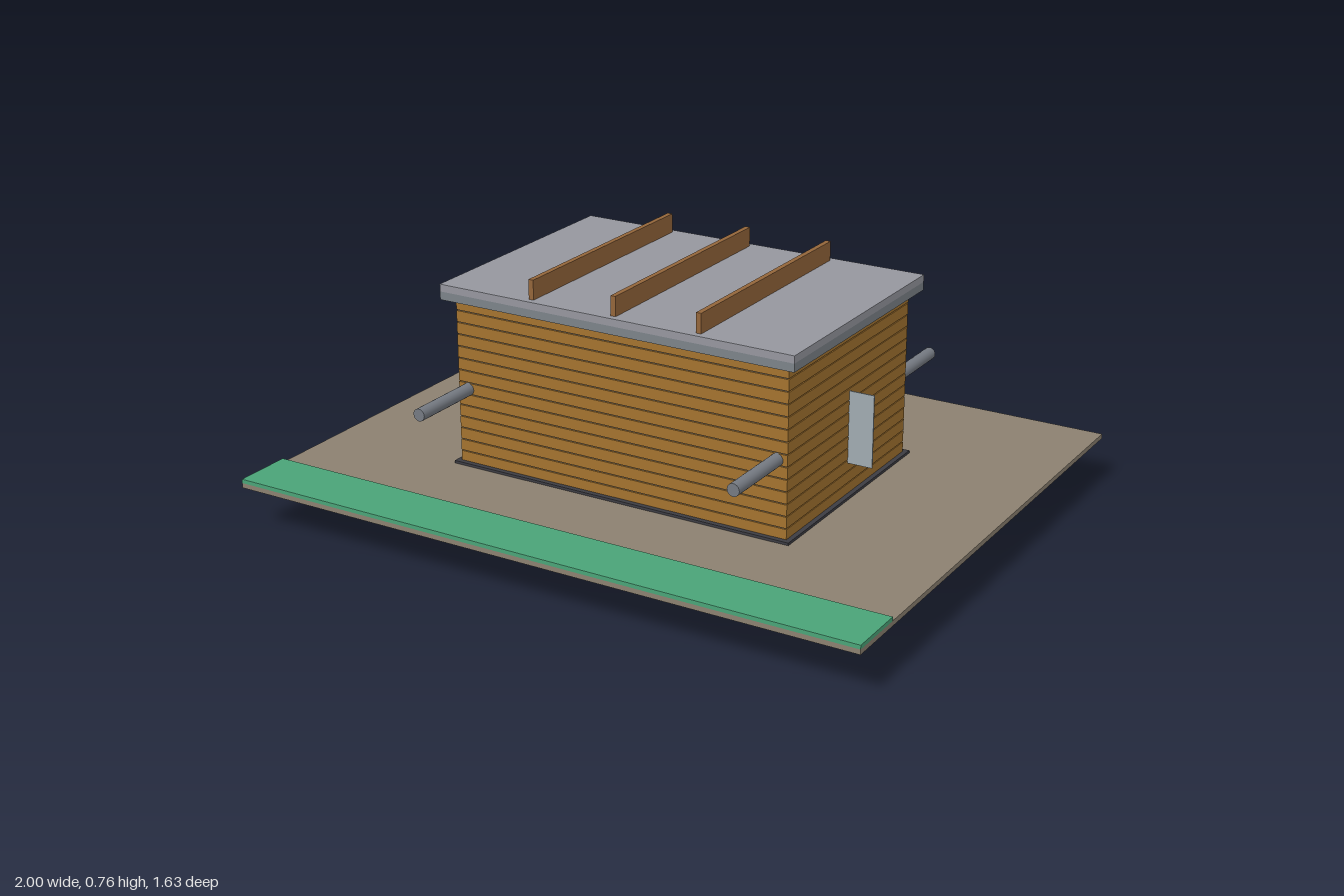
import * as THREE from 'three';

const mat = (color) => new THREE.MeshStandardMaterial({ color, flatShading: true });
const M = {
  ground: mat(0x8b8070), green: mat(0x4aa377), wood: mat(0xa3732f), fin: mat(0x93653a),
  roof: mat(0x95969e), slate: mat(0x7c8389), dark: mat(0x3c3c42), post: mat(0x92792a),
  panel: mat(0xa0aab0), core: mat(0x8a8a8e),
};
const pipeMat = new THREE.MeshStandardMaterial({ color: 0x757a82 });

// Box given by its limits on each axis
function block(parent, name, m, x0, x1, y0, y1, z0, z1) {
  const mesh = new THREE.Mesh(new THREE.BoxGeometry(x1 - x0, y1 - y0, z1 - z0), m);
  mesh.position.set((x0 + x1) / 2, (y0 + y1) / 2, (z0 + z1) / 2);
  mesh.name = name;
  parent.add(mesh);
  return mesh;
}

// Slab with rounded corners in plan
function roundedSlab(parent, name, m, hx, hz, r, y0, y1) {
  const s = new THREE.Shape();
  s.absarc(hx - r, hz - r, r, 0, Math.PI / 2);
  s.absarc(-hx + r, hz - r, r, Math.PI / 2, Math.PI);
  s.absarc(-hx + r, -hz + r, r, Math.PI, Math.PI * 1.5);
  s.absarc(hx - r, -hz + r, r, Math.PI * 1.5, Math.PI * 2);
  const geo = new THREE.ExtrudeGeometry(s, { depth: y1 - y0, bevelEnabled: false, curveSegments: 6 });
  geo.rotateX(-Math.PI / 2);
  const mesh = new THREE.Mesh(geo, m);
  mesh.position.y = y0;
  mesh.name = name;
  parent.add(mesh);
}

export function createModel() {
  const model = new THREE.Group();
  model.name = 'cabin';
  const G = 0.147; // ground surface

  // Ground plate and lawn strip
  block(model, 'groundPlate', M.ground, -1, 1, 0.132, G, -0.817, 0.817);
  block(model, 'lawnStrip', M.green, -1, 1, G, 0.159, 0.637, 0.817);

  // Foundation below the ground
  const base = new THREE.Group();
  base.name = 'foundation';
  model.add(base);
  roundedSlab(base, 'footing', M.roof, 0.588, 0.403, 0.04, 0, 0.066);
  roundedSlab(base, 'footingUpper', M.slate, 0.572, 0.388, 0.04, 0.066, 0.11);
  block(base, 'sillFrame', M.post, -0.577, 0.577, 0.11, 0.132, -0.393, 0.393);

  // Pairs of blocks clasping each corner
  for (const sx of [-1, 1]) for (const sz of [-1, 1]) {
    const corner = new THREE.Group();
    corner.name = 'cornerPosts';
    const a = block(corner, 'endPost', M.post, 0.458, 0.56, 0.001, 0.146, 0.33, 0.415);
    const b = block(corner, 'sidePost', M.post, 0.515, 0.6, 0.001, 0.146, 0.28, 0.378);
    for (const p of [a, b]) { p.position.x *= sx; p.position.z *= sz; }
    base.add(corner);
  }

  // Walls: thin board courses around an inner core
  const walls = new THREE.Group();
  walls.name = 'walls';
  model.add(walls);
  block(walls, 'plinth', M.dark, -0.56, 0.56, G, 0.155, -0.38, 0.38);
  block(walls, 'wallCore', M.core, -0.54, 0.54, 0.15, 0.66, -0.36, 0.36);
  const courses = 14, bottom = 0.15, pitch = (0.66 - bottom) / courses, gap = 0.003;
  for (let i = 0; i < courses; i++) {
    const y = bottom + i * pitch;
    block(walls, 'boardCourse', M.wood, -0.545, 0.545, y + gap / 2, y + pitch - gap / 2, -0.364, 0.364);
  }

  // Roof with raised ribs
  const roof = new THREE.Group();
  roof.name = 'roof';
  model.add(roof);
  block(roof, 'roofUnderlayer', M.slate, -0.577, 0.577, 0.659, 0.684, -0.396, 0.396);
  block(roof, 'roofCover', M.roof, -0.577, 0.577, 0.684, 0.706, -0.396, 0.396);
  for (const x of [-0.273, 0, 0.273])
    block(roof, 'roofRib', M.fin, x - 0.008, x + 0.008, 0.706, 0.765, -0.376, 0.376);

  // Carrying poles running front to back
  for (const x of [-0.512, 0.512]) {
    const pole = new THREE.Mesh(new THREE.CylinderGeometry(0.019, 0.019, 1.204, 20), pipeMat);
    pole.rotation.x = Math.PI / 2;
    pole.position.set(x, 0.385, 0);
    pole.name = 'pole';
    model.add(pole);
  }

  // Thin plate standing out from the left wall
  block(model, 'sidePlate', M.panel, 0.54, 0.622, 0.25, 0.47, -0.002, 0.002);
  return model;
}
